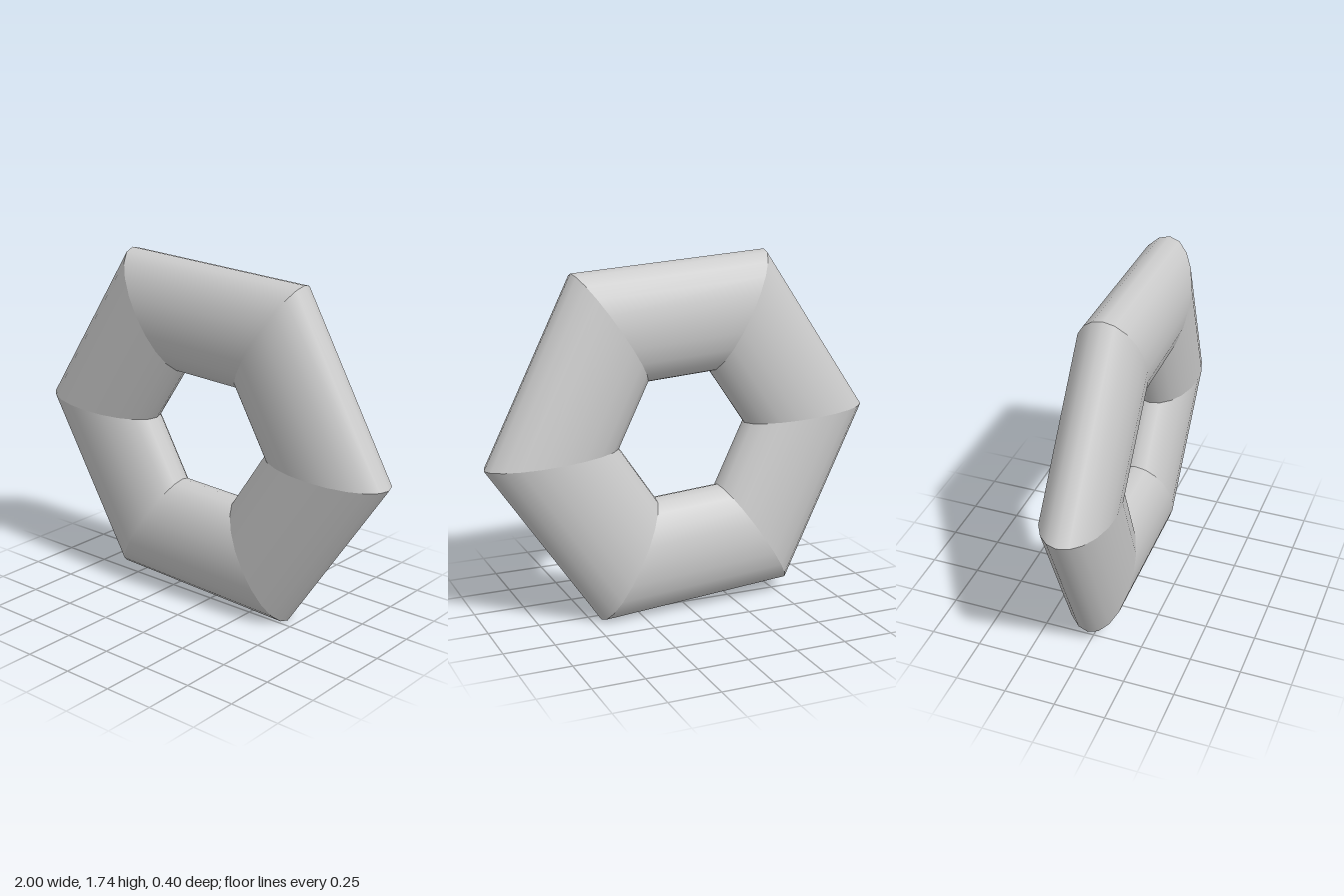
import * as THREE from 'three';

export function createModel() {
  const group = new THREE.Group();
  group.name = 'hexagonalRing';
  const material = new THREE.MeshStandardMaterial({ color: 0xcccccc });
  const SIDES = 20;                      // facets round the oval section
  const MID = 0.67, HALF = 0.33, DEPTH = 0.165;

  // Outer corners, clockwise from the front; the ring is slightly tilted
  const a = new THREE.Vector3(-0.45, 0.87, 0.05);
  const b = new THREE.Vector3(0.55, 0.81, 0.01);
  const c = b.clone().sub(a);
  const corners = [a, b, c, ...[a, b, c].map(v => v.clone().negate())];
  const axis = new THREE.Vector3().crossVectors(b, a).normalize();

  // One straight oval bar, mitred at the corners p and q
  function bar(p, q) {
    const outward = new THREE.Vector3().crossVectors(axis, q.clone().sub(p)).normalize();
    const width = HALF * p.dot(outward);
    const positions = [], normals = [], index = [];
    for (let j = 0; j <= SIDES; j++) {
      const t = (j / SIDES) * Math.PI * 2;
      const normal = outward.clone().multiplyScalar(Math.cos(t) / width)
        .addScaledVector(axis, Math.sin(t) / DEPTH).normalize();
      for (const end of [p, q]) {
        const v = end.clone().multiplyScalar(MID + HALF * Math.cos(t))
          .addScaledVector(axis, DEPTH * Math.sin(t));
        positions.push(v.x, v.y, v.z);
        normals.push(normal.x, normal.y, normal.z);
      }
      if (j < SIDES) {
        const k = j * 2;
        index.push(k, k + 2, k + 1, k + 1, k + 2, k + 3);
      }
    }
    const geometry = new THREE.BufferGeometry();
    geometry.setAttribute('position', new THREE.Float32BufferAttribute(positions, 3));
    geometry.setAttribute('normal', new THREE.Float32BufferAttribute(normals, 3));
    geometry.setIndex(index);
    return geometry;
  }

  // Six bars make the closed ring
  corners.forEach((p, i) => {
    const mesh = new THREE.Mesh(bar(p, corners[(i + 1) % 6]), material);
    mesh.name = 'ringSide' + (i + 1);
    mesh.position.y = 0.87;
    group.add(mesh);
  });
  return group;
}
